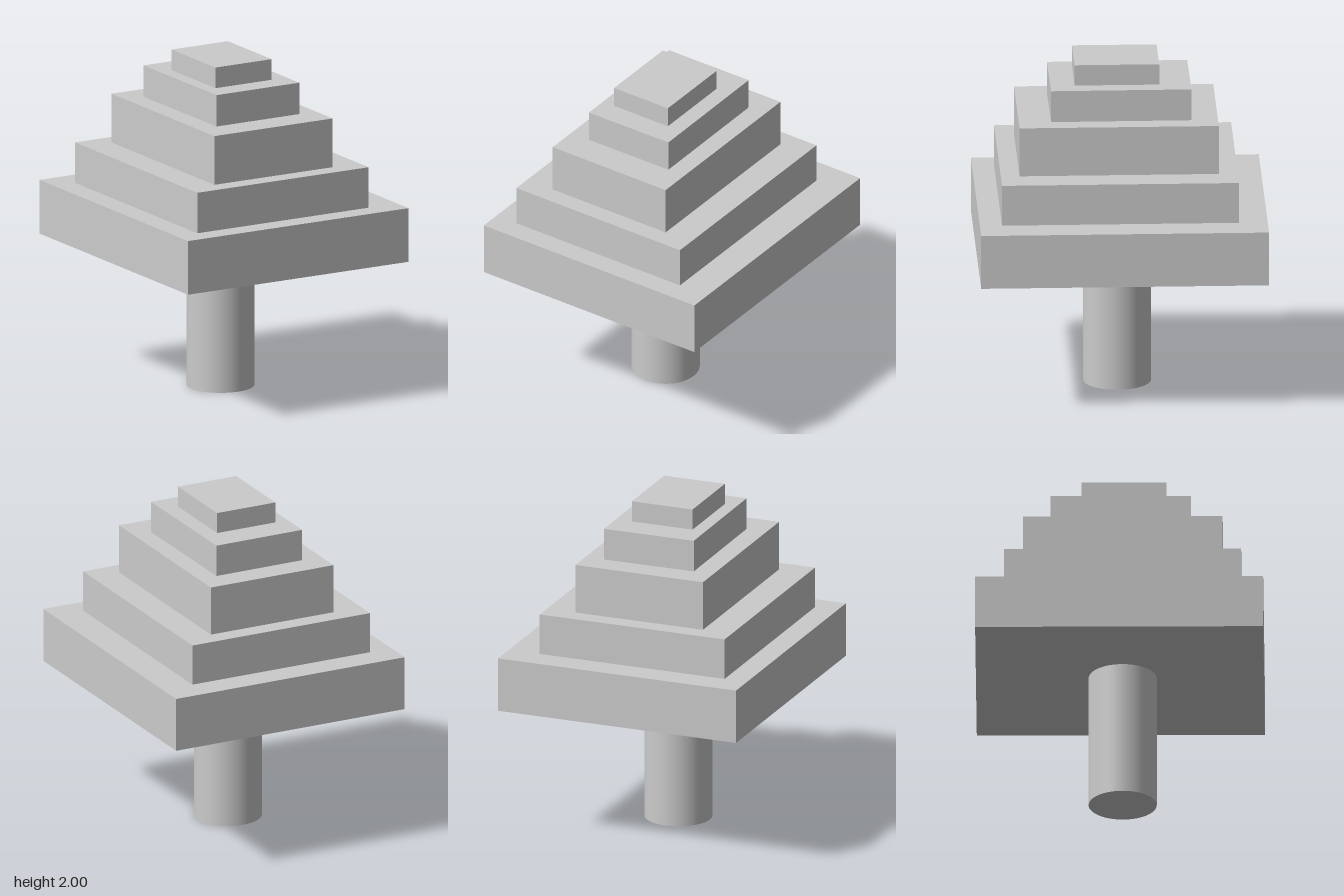
import * as THREE from 'three';

const material = new THREE.MeshStandardMaterial({ color: 0xcccccc });

// Stacked foliage slabs: x range, y range, z range, slight twist about y
const TIERS = [
  { x: [-0.755, 0.755], y: [0.82, 1.145], z: [-0.845, 0.845] },
  { x: [-0.613, 0.56], y: [1.145, 1.39], z: [-0.677, 0.715] },
  { x: [-0.43, 0.38], y: [1.39, 1.685], z: [-0.565, 0.605] },
  { x: [-0.304, 0.264], y: [1.685, 1.875], z: [-0.408, 0.416], twist: 0.005 },
  { x: [-0.223, 0.162], y: [1.875, 2], z: [-0.224, 0.273] },
];

const size = ([a, b]) => b - a;
const middle = ([a, b]) => (a + b) / 2;

export function createModel() {
  const tree = new THREE.Group();
  tree.name = 'steppedTree';

  // Round trunk, a little off centre
  const trunk = new THREE.Mesh(new THREE.CylinderGeometry(0.2, 0.2, 0.82, 64), material);
  trunk.name = 'trunk';
  trunk.position.set(-0.034, 0.41, 0.016);
  tree.add(trunk);

  // Foliage from bottom to top
  TIERS.forEach(({ x, y, z, twist = 0 }, i) => {
    const tier = new THREE.Mesh(new THREE.BoxGeometry(size(x), size(y), size(z)), material);
    tier.name = `foliageTier${i + 1}`;
    tier.position.set(middle(x), middle(y), middle(z));
    tier.rotation.y = twist;
    tree.add(tier);
  });

  return tree;
}
